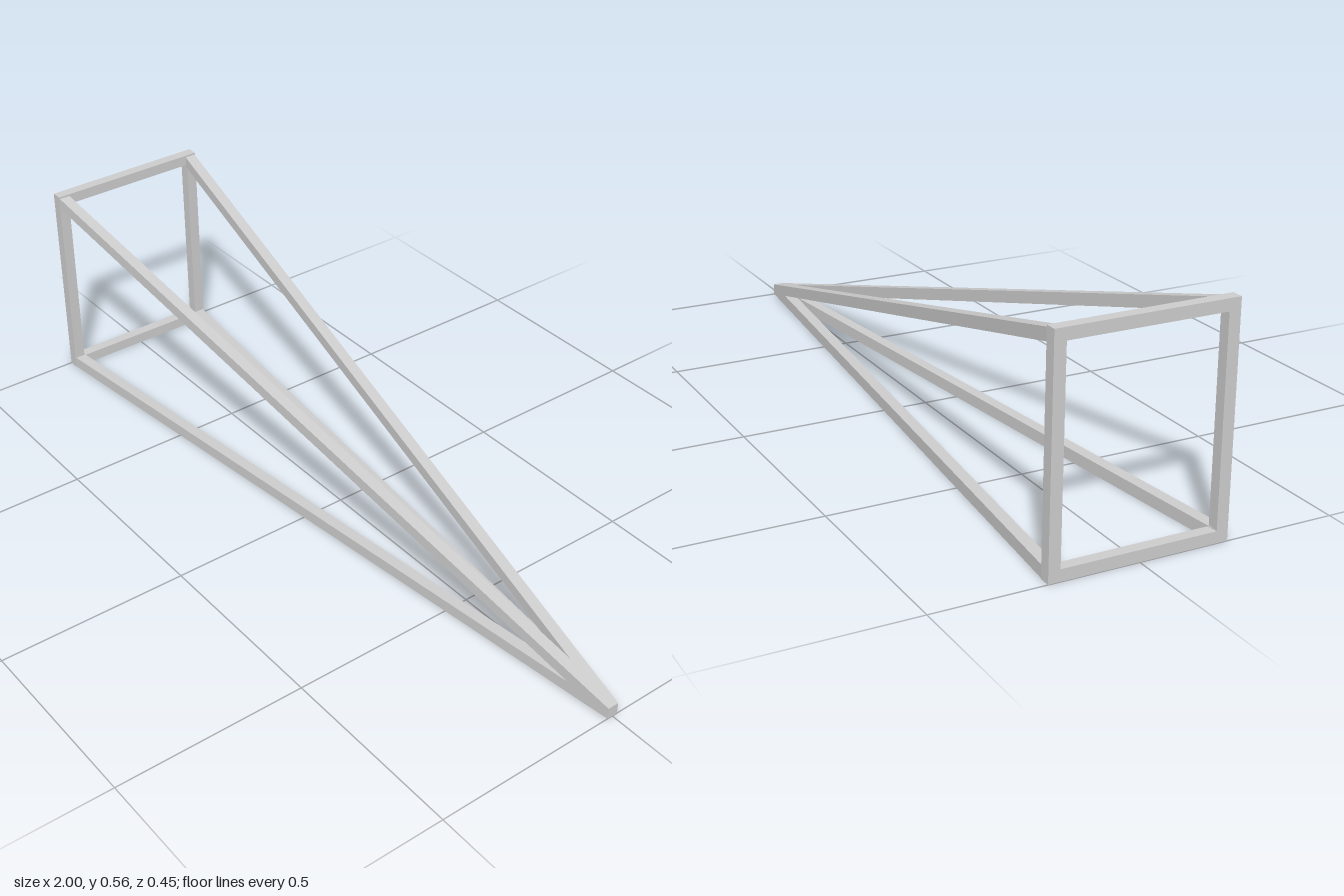
import * as THREE from 'three';

const T = 0.029;              // bar thickness
const H = 0.555, W = 0.223;   // height and half width of the end frame
const TIP = 0.0155;           // height of the apex centre

export function createModel() {
  const model = new THREE.Group();
  const material = new THREE.MeshStandardMaterial({ color: 0xcccccc, flatShading: true });

  const add = (name, geometry, x = 0, y = 0, z = 0) => {
    const mesh = new THREE.Mesh(geometry, material);
    mesh.name = name;
    mesh.position.set(x, y, z);
    model.add(mesh);
  };

  // Long bar with upright square ends, running from the frame to the apex
  const longBar = (y, z) => {
    const g = new THREE.BoxGeometry(1.99, 0.031, 0.03);
    const p = g.attributes.position;
    for (let i = 0; i < p.count; i++) {
      const atTip = p.getX(i) > 0;
      p.setXYZ(i, atTip ? 1 : -0.99,
        p.getY(i) + (atTip ? TIP : y),
        p.getZ(i) + (atTip ? 0 : z));
    }
    g.computeVertexNormals();
    return g;
  };

  // Rectangular end frame: two posts, two cross bars
  const fx = -1 + T / 2;
  for (const s of [1, -1]) {
    const side = s > 0 ? 'front' : 'back';
    add(side + 'Post', new THREE.BoxGeometry(T, H - T, T), fx, H / 2, s * (W - T / 2));
    add(side + 'LowerBar', longBar(TIP, s * (W - 0.015)));
    add(side + 'UpperBar', longBar(H - 0.0155, s * (W - 0.015)));
  }
  add('topCrossBar', new THREE.BoxGeometry(T, T, 2 * W), fx, H - T / 2, 0);
  add('bottomCrossBar', new THREE.BoxGeometry(T, T, 2 * W), fx, T / 2, 0);

  return model;
}
